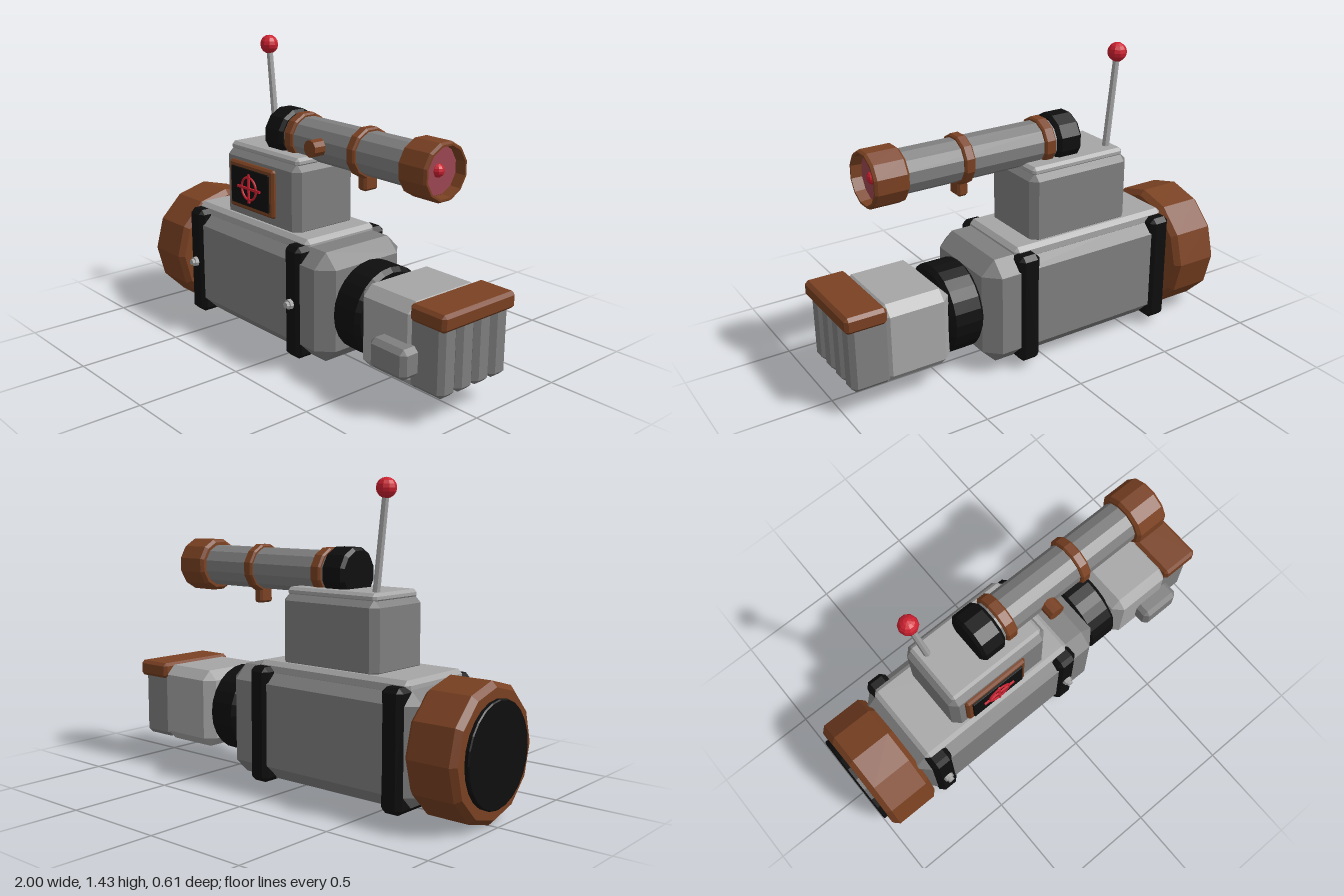
import * as THREE from 'three';
import { ConvexGeometry } from 'three/addons/geometries/ConvexGeometry.js';

const material = (name, color) => {
  const m = new THREE.MeshStandardMaterial({ color });
  m.name = name;
  return m;
};

export function createModel() {
  const root = new THREE.Group();
  root.name = 'scopedLauncher';
  const grey = material('midGrey', 0x7f7f7f);
  const light = material('lightGrey', 0xa6a6a6);
  const brown = material('brown', 0x7a4122);
  const black = material('black', 0x0e0e0e);
  const red = material('red', 0xcc2030);
  const lensPink = material('lensPink', 0x9c4651);

  const add = (name, geometry, mat) => {
    const mesh = new THREE.Mesh(geometry, mat);
    mesh.name = name;
    root.add(mesh);
    return mesh;
  };
  // Facet a geometry with hard-edged normals
  const flat = (geometry) => {
    const g = geometry.index ? geometry.toNonIndexed() : geometry;
    g.computeVertexNormals();
    return g;
  };
  // Box with chamfered edges, given by its limits on each axis
  const chamferBox = (name, mat, [x0, x1], [y0, y1], [z0, z1], c) => {
    const h = [(x1 - x0) / 2, (y1 - y0) / 2, (z1 - z0) / 2];
    const points = [];
    for (const sx of [-1, 1]) for (const sy of [-1, 1]) for (const sz of [-1, 1]) {
      for (let axis = 0; axis < 3; axis++) {
        const p = h.map((v, i) => (i === axis ? v : v - c));
        points.push(new THREE.Vector3(p[0] * sx, p[1] * sy, p[2] * sz));
      }
    }
    const mesh = add(name, new ConvexGeometry(points), mat);
    mesh.position.set((x0 + x1) / 2, (y0 + y1) / 2, (z0 + z1) / 2);
    return mesh;
  };
  // Turned part along x from [radius, x] pairs
  const turned = (name, mat, profile, y, sides, start = 0) => {
    const points = profile.map(([r, x]) => new THREE.Vector2(r, x));
    const g = new THREE.LatheGeometry(points, sides, start);
    g.rotateZ(-Math.PI / 2);
    const mesh = add(name, flat(g), mat);
    mesh.position.y = y;
    return mesh;
  };
  const drum = (x0, x1, r, c) => [[0, x0], [r - c, x0], [r, x0 + c], [r, x1 - c], [r - c, x1], [0, x1]];

  // Main body with rear cap
  const axisY = 0.305;
  chamferBox('body', grey, [-0.75, 0.33], [0.05, 0.57], [-0.255, 0.255], 0.068);
  turned('rearCap', brown, drum(-0.98, -0.73, 0.305, 0.025), axisY, 12);
  turned('rearPad', black, drum(-1, -0.97, 0.233, 0.005), axisY, 24);
  chamferBox('topPlate', light, [-0.69, 0.16], [0.53, 0.6], [-0.21, 0.21], 0.02);

  // Straps and their bolts
  for (const x of [-0.64, 0.115]) {
    chamferBox('strap', black, [x - 0.054, x + 0.054], [0.04, 0.577], [-0.27, 0.27], 0.022);
    for (const [r, z] of [[0.026, 0.275], [0.017, 0.289]]) {
      const g = new THREE.CylinderGeometry(r * 0.9, r, 0.024, 8).rotateX(Math.PI / 2);
      add('bolt', flat(g), light).position.set(x, axisY, z);
    }
  }

  // Neck, muzzle block and vent ribs
  turned('neck', black, drum(0.325, 0.495, 0.212, 0.02), axisY, 24);
  chamferBox('muzzleBlock', light, [0.49, 0.84], [0.12, 0.498], [-0.212, 0.212], 0.045);
  for (let i = 0; i < 4; i++) {
    const z = (i - 1.5) * 0.103;
    chamferBox('ventRib', grey, [0.79, 0.98], [0.13, 0.47], [z - 0.049, z + 0.049], 0.022);
  }
  chamferBox('muzzleHood', brown, [0.805, 1], [0.43, 0.507], [-0.218, 0.218], 0.015);
  chamferBox('sideLatch', grey, [0.64, 0.85], [0.19, 0.325], [0.18, 0.287], 0.022);

  // Control housing
  chamferBox('housing', grey, [-0.495, 0.05], [0.57, 0.915], [-0.18, 0.18], 0.033);
  chamferBox('housingLid', light, [-0.475, 0.03], [0.9, 0.942], [-0.157, 0.157], 0.014);
  chamferBox('screenFrame', brown, [-0.432, -0.098], [0.637, 0.867], [0.165, 0.2], 0.01);
  chamferBox('screen', black, [-0.405, -0.123], [0.663, 0.842], [0.19, 0.209], 0.002);

  // Target mark on the screen
  const markX = -0.263, markY = 0.753;
  const ring = new THREE.TorusGeometry(0.055, 0.006, 6, 24);
  add('targetRing', ring, red).position.set(markX, markY, 0.212);
  for (const [w, h] of [[0.17, 0.011], [0.011, 0.14]]) {
    add('targetBar', new THREE.BoxGeometry(w, h, 0.009), red).position.set(markX, markY, 0.213);
  }

  // Antenna
  const foot = new THREE.Vector3(-0.425, 0.93, -0.085);
  const tip = new THREE.Vector3(-0.475, 1.385, -0.085);
  const direction = tip.clone().sub(foot);
  const rod = add('antennaRod', flat(new THREE.CylinderGeometry(0.015, 0.017, direction.length(), 8)), light);
  rod.position.copy(foot).add(tip).multiplyScalar(0.5);
  rod.quaternion.setFromUnitVectors(new THREE.Vector3(0, 1, 0), direction.normalize());
  add('antennaBall', flat(new THREE.SphereGeometry(0.045, 10, 8)), red).position.copy(tip);

  // Scope tube, eyepiece, bands and objective
  const scopeY = 1.005, turn = Math.PI / 12;
  const scope = (name, mat, profile) => turned(name, mat, profile, scopeY, 12, turn);
  scope('scopeTube', grey, drum(-0.15, 0.66, 0.1, 0.005));
  scope('eyepiece', black, drum(-0.265, -0.137, 0.122, 0.015));
  scope('rearBand', brown, drum(-0.125, -0.068, 0.116, 0.008));
  scope('frontBand', brown, drum(0.3, 0.352, 0.116, 0.008));
  scope('objective', brown, [[0, 0.623], [0.115, 0.623], [0.129, 0.637], [0.129, 0.775],
    [0.121, 0.787], [0.112, 0.787], [0.106, 0.72], [0, 0.72]]);
  scope('lens', lensPink, drum(0.715, 0.74, 0.109, 0.003));
  add('lensDot', flat(new THREE.SphereGeometry(0.03, 10, 8)), red).position.set(0.735, scopeY, 0);
  chamferBox('bandTab', brown, [0.3, 0.352], [0.838, 0.91], [-0.04, 0.04], 0.01);
  const knob = new THREE.CylinderGeometry(0.04, 0.04, 0.075, 10).rotateX(Math.PI / 2);
  add('scopeKnob', flat(knob), brown).position.set(0.115, scopeY, 0.118);

  return root;
}
